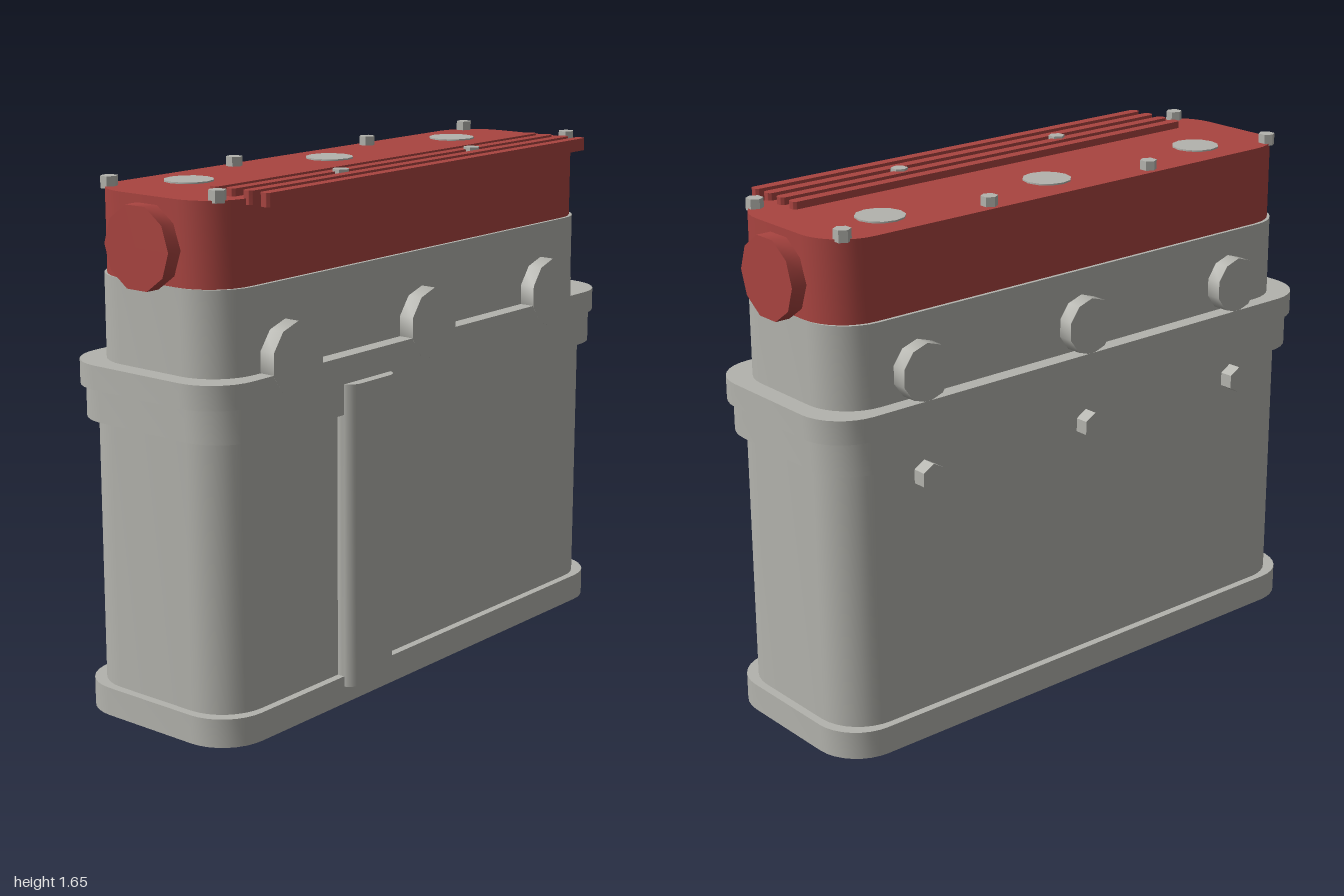
import * as THREE from 'three';
import { toCreasedNormals } from 'three/addons/utils/BufferGeometryUtils.js';

const CREASE = 0.8;
const MID = -0.007; // the block sits slightly off the x axis

export function createModel() {
  const model = new THREE.Group();
  model.name = 'engineBlock';
  const metal = new THREE.MeshStandardMaterial({ color: 0xb3b3ad });
  metal.name = 'grey metal';
  const paint = new THREE.MeshStandardMaterial({ color: 0xa94440 });
  paint.name = 'red paint';

  function add(name, geometry, material, x, y, z) {
    const mesh = new THREE.Mesh(toCreasedNormals(geometry, CREASE), material);
    mesh.name = name;
    mesh.position.set(x, y, z);
    model.add(mesh);
  }

  // Upright slab with a rounded rectangular footprint, from y0 to y1
  function slab(name, material, x, z, width, length, r, y0, y1) {
    const a = width / 2 - r, b = length / 2 - r;
    const shape = new THREE.Shape();
    shape.absarc(a, b, r, 0, Math.PI / 2);
    shape.absarc(-a, b, r, Math.PI / 2, Math.PI);
    shape.absarc(-a, -b, r, Math.PI, Math.PI * 1.5);
    shape.absarc(a, -b, r, Math.PI * 1.5, Math.PI * 2);
    const geometry = new THREE.ExtrudeGeometry(shape, {
      depth: y1 - y0, bevelEnabled: false, curveSegments: 4,
    });
    add(name, geometry.rotateX(-Math.PI / 2), material, x, y0, z);
  }

  // Faceted disc along the given axis, centred on x, y, z
  function disc(name, material, axis, r, depth, sides, x, y, z) {
    const geometry = new THREE.CylinderGeometry(r, r, depth, sides, 1, false, Math.PI / 2);
    if (axis === 'x') geometry.rotateZ(Math.PI / 2);
    if (axis === 'z') geometry.rotateX(Math.PI / 2);
    add(name, geometry, material, x, y, z);
  }

  // Stacked main castings
  slab('baseFlange', metal, MID, 0, 0.647, 1.955, 0.15, 0, 0.09);
  slab('crankcase', metal, MID, 0, 0.597, 1.9, 0.15, 0.09, 0.93);
  slab('lowerHeadFlange', metal, MID, 0, 0.645, 1.955, 0.15, 0.93, 1.035);
  slab('upperHeadFlange', metal, MID, 0, 0.647, 2, 0.15, 1.035, 1.11);
  slab('cylinderHead', metal, MID, 0, 0.545, 1.874, 0.15, 1.11, 1.37);
  slab('valveCover', paint, MID, 0, 0.522, 1.872, 0.15, 1.37, 1.625);

  // Vertical duct on the left side
  slab('sideDuct', metal, 0.297, 0.33, 0.1, 0.232, 0.049, 0.055, 1.025);

  // Fittings repeated for each cylinder
  for (const z of [-0.65, 0, 0.65]) {
    disc('leftBoss', metal, 'x', 0.115, 0.077, 10, 0.2785, 1.14, z);
    disc('rightBoss', metal, 'x', 0.092, 0.07, 10, -0.295, 1.198, z);
    disc('sideBolt', metal, 'x', 0.044, 0.047, 6, -0.3265, 0.873, z);
    disc('coverPlug', metal, 'y', 0.077, 0.009, 12, -0.115, 1.6255, z);
  }

  // Round caps on both ends of the cover
  for (const s of [-1, 1]) {
    disc('endCap', paint, 'z', 0.129, 0.075, 10, MID, 1.478, s * 0.9475);
  }

  // Ribs along the cover
  for (const x of [0.123, 0.187, 0.253, 0.319]) {
    slab('coverRib', paint, x, 0, 0.035, 1.6, 0.015, 1.607, 1.648);
  }

  // Cover bolts
  for (const x of [-0.228, 0.208]) {
    for (const z of [-0.87, -0.328, 0.328, 0.87]) {
      disc('coverBolt', metal, 'y', 0.027, 0.037, 6, x, 1.6365, z);
    }
  }
  return model;
}
